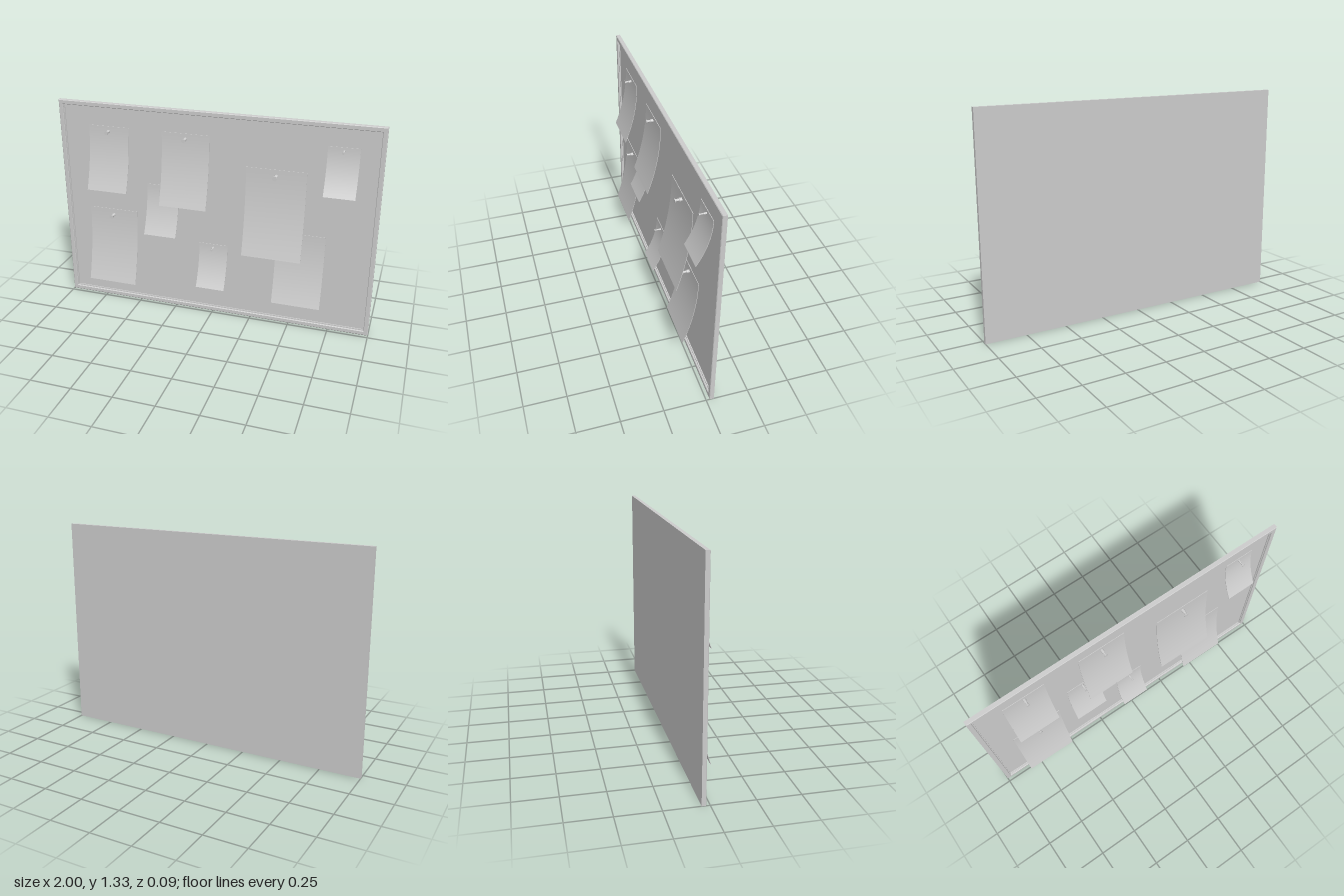
import * as THREE from 'three';

const material = new THREE.MeshStandardMaterial({ color: 0xcccccc });
const H = 1.33;
const PANEL_Z = -0.037;

// Mitred rectangular frame: each ring is [inset, z], from the back edge to the inner lip
function frameGeometry(rings) {
  const pos = [], index = [];
  for (const [d, z] of rings) {
    pos.push(-1 + d, d, z, 1 - d, d, z, 1 - d, H - d, z, -1 + d, H - d, z);
  }
  for (let k = 0; k < rings.length - 1; k++) {
    for (let i = 0; i < 4; i++) {
      const a = k * 4 + i, b = k * 4 + (i + 1) % 4;
      index.push(a, b, b + 4, a, b + 4, a + 4);
    }
  }
  const indexed = new THREE.BufferGeometry();
  indexed.setAttribute('position', new THREE.Float32BufferAttribute(pos, 3));
  indexed.setIndex(index);
  const flat = indexed.toNonIndexed();
  flat.computeVertexNormals();
  return flat;
}

// Thin sheet, flat at the top and curling forward to the bottom edge
function paperGeometry(w, h) {
  const g = new THREE.BoxGeometry(w, h, 0.003, 1, 16, 1);
  const p = g.attributes.position;
  for (let i = 0; i < p.count; i++) {
    const t = 0.5 - p.getY(i) / h;
    p.setZ(i, p.getZ(i) + 0.082 * t * t);
  }
  g.computeVertexNormals();
  return g;
}

// Spool-shaped push pin, pointing along +z, with flanges at both ends
function pinGeometry(r) {
  const profile = [[0, 0], [0.8, 0], [0.8, 0.019], [0.55, 0.021], [0.5, 0.032],
    [0.6, 0.042], [1, 0.043], [1, 0.046], [0, 0.046]];
  const g = new THREE.LatheGeometry(profile.map(([x, y]) => new THREE.Vector2(x * r, y)), 16).toNonIndexed();
  g.computeVertexNormals();
  g.rotateX(Math.PI / 2);
  return g;
}

export function createModel() {
  const model = new THREE.Group();
  model.name = 'noticeBoard';
  const add = (parent, name, geometry, x = 0, y = 0, z = 0) => {
    const mesh = new THREE.Mesh(geometry, material);
    mesh.name = name;
    mesh.position.set(x, y, z);
    parent.add(mesh);
  };

  // Frame with a small outer chamfer and a stepped inner lip
  add(model, 'frame', frameGeometry([
    [0, -0.046], [0, -0.023], [0.004, -0.02], [0.025, -0.02], [0.028, -0.023],
    [0.028, -0.03], [0.034, -0.03], [0.034, PANEL_Z - 0.001],
  ]));

  // Recessed pinning surface and flat back
  add(model, 'panel', new THREE.PlaneGeometry(1.94, H - 0.06), 0, H / 2, PANEL_Z);
  const back = new THREE.PlaneGeometry(2, H);
  back.rotateY(Math.PI);
  add(model, 'back', back, 0, H / 2, -0.046);

  // Papers: left, right, bottom, top, pin height, pin radius
  const papers = [
    [-0.808, -0.545, 0.78, 1.182, 1.151, 0.011],
    [-0.327, -0.026, 0.73, 1.182, 1.149, 0.0125],
    [0.677, 0.861, 0.912, 1.191, 1.17, 0.0075],
    [0.203, 0.568, 0.468, 1.015, 0.974, 0.0145],
    [-0.434, -0.225, 0.52, 0.834, 0.81, 0.0085],
    [-0.835, -0.512, 0.14, 0.63, 0.591, 0.013],
    [-0.092, 0.092, 0.198, 0.475, 0.453, 0.0075],
    [0.4, 0.7, 0.17, 0.62, 0.585, 0.0125],
  ];
  papers.forEach(([x0, x1, y0, y1, pinY, r], i) => {
    const note = new THREE.Group();
    note.name = `note${i + 1}`;
    const x = (x0 + x1) / 2;
    add(note, 'paper', paperGeometry(x1 - x0, y1 - y0), x, (y0 + y1) / 2, PANEL_Z + 0.002);
    add(note, 'pin', pinGeometry(r), x, pinY, PANEL_Z + 0.001);
    model.add(note);
  });
  return model;
}
